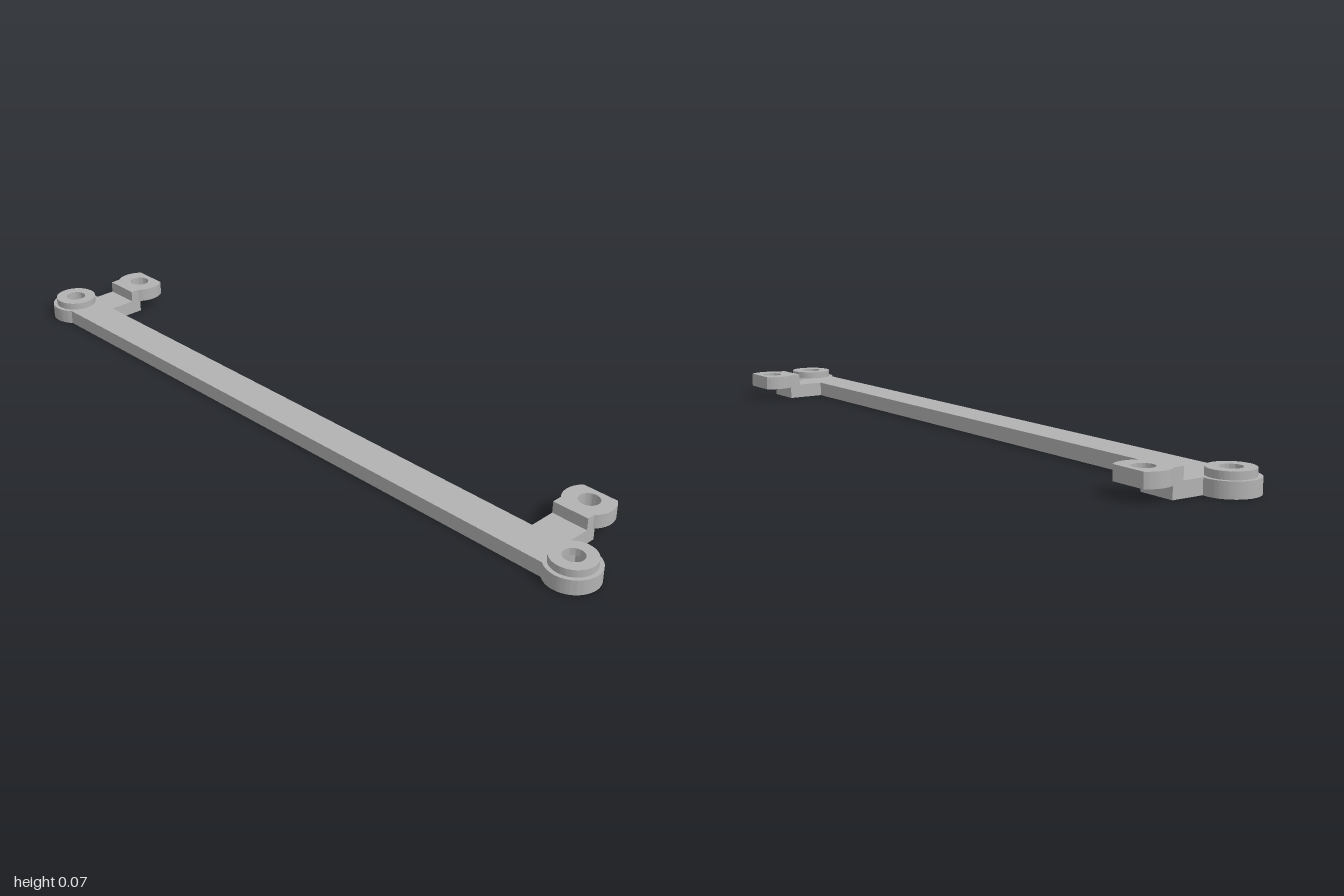
import * as THREE from 'three';
import { toCreasedNormals } from 'three/addons/utils/BufferGeometryUtils.js';

const BOSS_X = 0.932, BOSS_Z = 0.083, BOSS_R = 0.068;
const HOLE_R = 0.027;
const BASE_H = 0.039;
const BAR_HALF = 0.05;

// Shapes are drawn in plan as (x, -z) and raised from y0 to y1
function raise(shape, y0, y1) {
  const geo = new THREE.ExtrudeGeometry(shape, { depth: y1 - y0, bevelEnabled: false, curveSegments: 32 });
  geo.rotateX(-Math.PI / 2);
  geo.translate(0, y0, 0);
  return toCreasedNormals(geo, 0.5);
}

function roundHole(x, v, r) {
  return new THREE.Path().absarc(x, v, r, 0, Math.PI * 2, true);
}

function hexHole(x, v, r) {
  const pts = [];
  for (let i = 0; i < 6; i++) {
    const a = -i * Math.PI / 3;
    pts.push(new THREE.Vector2(x + r * Math.cos(a), v + r * Math.sin(a)));
  }
  return new THREE.Path(pts);
}

export function createModel() {
  const group = new THREE.Group();
  const grey = new THREE.MeshStandardMaterial({ color: 0xb2b2b2 });
  grey.name = 'plain grey';

  const add = (name, geo) => {
    const mesh = new THREE.Mesh(geo, grey);
    mesh.name = name;
    group.add(mesh);
  };

  // Edges of the rear arms and centres of their tabs
  const leftArm = { x0: 0.778, x1: 0.877, c: 0.83 };
  const rightArm = { x0: -0.917, x1: -0.817, c: -0.866 };
  const armEnd = 0.07;
  const v = -BOSS_Z;

  // Base: long bar, round ends and rear arms in one outline, with hexagonal nut pockets
  const a = Math.asin(BAR_HALF / BOSS_R);
  const join = BOSS_X - BOSS_R * Math.cos(a);
  const base = new THREE.Shape();
  base.moveTo(-join, v - BAR_HALF);
  base.lineTo(join, v - BAR_HALF);
  base.absarc(BOSS_X, v, BOSS_R, Math.PI + a, 2 * Math.PI + Math.acos((leftArm.x1 - BOSS_X) / BOSS_R), false);
  base.lineTo(leftArm.x1, armEnd);
  base.lineTo(leftArm.x0, armEnd);
  base.lineTo(leftArm.x0, v + BAR_HALF);
  base.lineTo(rightArm.x1, v + BAR_HALF);
  base.lineTo(rightArm.x1, armEnd);
  base.lineTo(rightArm.x0, armEnd);
  base.absarc(-BOSS_X, v, BOSS_R, Math.acos((rightArm.x0 + BOSS_X) / BOSS_R), 2 * Math.PI - a, false);
  for (const s of [-1, 1]) base.holes.push(hexHole(s * BOSS_X, v, 0.051));
  add('barWithArms', raise(base, 0, BASE_H));

  // Raised collars that roof the nut pockets
  for (const s of [-1, 1]) {
    const collar = new THREE.Shape().absarc(s * BOSS_X, v, 0.057, 0, Math.PI * 2, false);
    collar.holes.push(roundHole(s * BOSS_X, v, HOLE_R));
    add(s > 0 ? 'leftCollar' : 'rightCollar', raise(collar, BASE_H, 0.058));
  }

  // Raised screw tabs: round sides, flat back, short neck over the arm
  const tab = ({ x0, x1, c }) => {
    const R = 0.065, tv = 0.107, flat = Math.asin(0.043 / R);
    const shape = new THREE.Shape();
    shape.moveTo(x0, 0.04);
    shape.lineTo(x1, 0.04);
    shape.absarc(c, tv, R, -Math.acos((x1 - c) / R), flat, false);
    shape.absarc(c, tv, R, Math.PI - flat, Math.PI + Math.acos((c - x0) / R), false);
    shape.holes.push(roundHole(c, tv, HOLE_R));
    return raise(shape, 0.033, 0.07);
  };
  add('leftTab', tab(leftArm));
  add('rightTab', tab(rightArm));

  return group;
}
